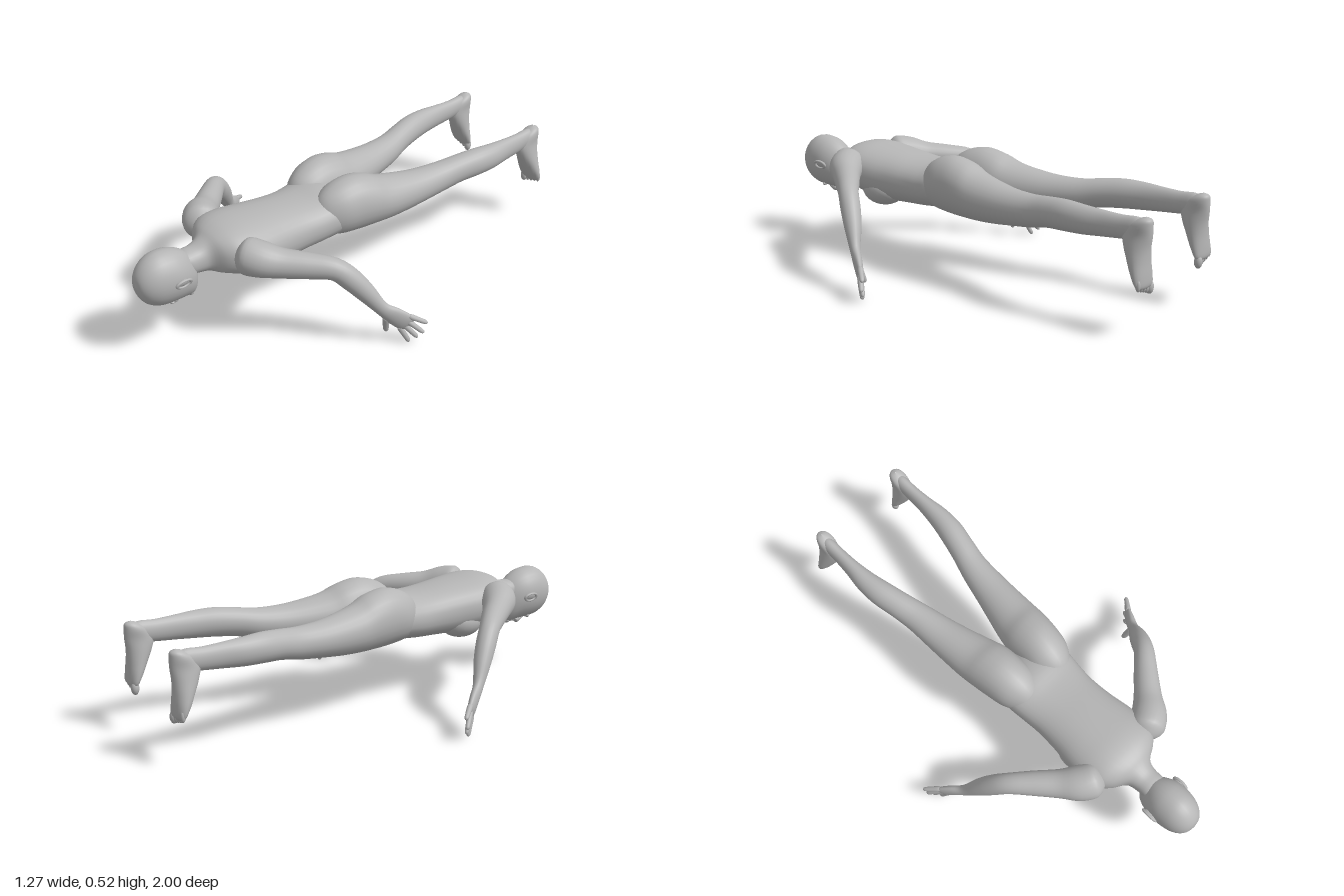
import * as THREE from 'three';

const skin = new THREE.MeshStandardMaterial({ color: 0xb6b6b6 });
skin.name = 'plain grey';

// Smooth skin through elliptical sections [cx, cy, cz, ru, rv].
// ref is the direction of rv; dir fixes the section normal, else it follows the path.
function loft(name, sections, { ref = [0, 1, 0], dir = null, power = 1, seg = 24, steps = 4 } = {}) {
  const spline = pts => new THREE.CatmullRomCurve3(pts, false, 'catmullrom', 0.5);
  const path = spline(sections.map(s => new THREE.Vector3(s[0], s[1], s[2])));
  const radii = spline(sections.map(s => new THREE.Vector3(s[3], s[4], 0)));
  const rows = (sections.length - 1) * steps;
  const pos = [], index = [];
  const round = v => Math.sign(v) * Math.abs(v) ** power;
  for (let i = 0; i <= rows; i++) {
    const c = path.getPoint(i / rows), r = radii.getPoint(i / rows);
    const d = dir ? new THREE.Vector3(...dir) : path.getTangent(i / rows);
    const v = new THREE.Vector3(...ref);
    v.addScaledVector(d, -v.dot(d)).normalize();
    const u = d.clone().cross(v);
    for (let j = 0; j < seg; j++) {
      const a = (j / seg) * Math.PI * 2;
      const p = c.clone()
        .addScaledVector(u, Math.max(r.x, 0.0005) * round(Math.cos(a)))
        .addScaledVector(v, Math.max(r.y, 0.0005) * round(Math.sin(a)));
      pos.push(p.x, p.y, p.z);
      if (i < rows) {
        const k = i * seg, n = (j + 1) % seg;
        index.push(k + j, k + seg + j, k + n, k + n, k + seg + j, k + seg + n);
      }
    }
  }
  const g = new THREE.BufferGeometry();
  g.setAttribute('position', new THREE.Float32BufferAttribute(pos, 3));
  g.setIndex(index);
  g.computeVertexNormals();
  const mesh = new THREE.Mesh(g, skin);
  mesh.name = name;
  return mesh;
}

function blob(name, [x, y, z], [rx, ry, rz]) {
  const mesh = new THREE.Mesh(new THREE.SphereGeometry(1, 20, 14), skin);
  mesh.name = name;
  mesh.position.set(x, y, z);
  mesh.scale.set(rx, ry, rz);
  return mesh;
}

// Section along z given by [z, low y, high y, half width, centre x]
const alongZ = rows => rows.map(([z, y0, y1, w, x = 0]) => [x, (y0 + y1) / 2, z, w, (y1 - y0) / 2]);

export function createModel() {
  const body = new THREE.Group();
  body.name = 'proneFigure';
  const back = [0, 0, -1];

  // Neck and trunk, from inside the skull to the crotch
  body.add(loft('torso', alongZ([
    [0.82, 0.36, 0.42, 0.03], [0.78, 0.335, 0.435, 0.053], [0.73, 0.325, 0.438, 0.056],
    [0.69, 0.318, 0.455, 0.07], [0.655, 0.308, 0.478, 0.125], [0.61, 0.295, 0.493, 0.165],
    [0.55, 0.278, 0.497, 0.178], [0.47, 0.262, 0.49, 0.175], [0.38, 0.258, 0.48, 0.163],
    [0.28, 0.262, 0.468, 0.158], [0.2, 0.267, 0.465, 0.164], [0.12, 0.275, 0.472, 0.172],
    [0.05, 0.278, 0.455, 0.17], [-0.01, 0.277, 0.42, 0.12], [-0.05, 0.285, 0.38, 0.06],
    [-0.07, 0.33, 0.335, 0.001],
  ]), { dir: back, power: 0.88, seg: 32 }));

  // Head, crown to chin
  body.add(loft('head', alongZ([
    [1.0, 0.364, 0.366, 0.001], [0.993, 0.325, 0.407, 0.034], [0.972, 0.288, 0.442, 0.06],
    [0.94, 0.263, 0.468, 0.078], [0.9, 0.25, 0.481, 0.087], [0.85, 0.246, 0.477, 0.089],
    [0.81, 0.244, 0.463, 0.081], [0.775, 0.238, 0.44, 0.066], [0.752, 0.244, 0.415, 0.05],
    [0.738, 0.27, 0.39, 0.028], [0.734, 0.32, 0.34, 0.001],
  ]), { dir: back, seg: 28 }));

  // Face
  body.add(loft('nose', [
    [0, 0.252, 0.885, 0.002, 0.002], [0, 0.246, 0.865, 0.009, 0.01], [0, 0.236, 0.838, 0.013, 0.014],
    [0, 0.238, 0.825, 0.015, 0.012], [0, 0.245, 0.815, 0.002, 0.002],
  ], { dir: back, seg: 12 }));
  body.add(blob('upperLip', [0, 0.244, 0.8], [0.024, 0.008, 0.006]));
  body.add(blob('lowerLip', [0, 0.243, 0.79], [0.02, 0.008, 0.006]));
  body.add(blob('chin', [0, 0.247, 0.766], [0.028, 0.017, 0.017]));

  for (const s of [1, -1]) {
    const side = s > 0 ? 'left' : 'right';
    const mirror = rows => rows.map(([x, ...rest]) => [s * x, ...rest]);

    body.add(blob(side + 'Eye', [s * 0.032, 0.257, 0.868], [0.017, 0.008, 0.009]));

    // Ear: bowl with a rim
    const ear = new THREE.Group();
    ear.name = side + 'Ear';
    const rim = new THREE.Mesh(new THREE.TorusGeometry(0.024, 0.006, 8, 20), skin);
    rim.name = 'earRim';
    rim.scale.set(0.75, 1.3, 1);
    ear.add(rim, blob('earBowl', [0, 0, -0.006], [0.018, 0.03, 0.008]));
    ear.position.set(s * 0.092, 0.362, 0.84);
    ear.rotation.set(Math.PI / 2, s * 1.25, 0, 'XYZ');
    body.add(ear);

    // Chest
    body.add(blob(side + 'Chest', [s * 0.082, 0.315, 0.445], [0.085, 0.073, 0.105]));

    // Leg with buttock, thigh, calf and ankle
    body.add(loft(side + 'Leg', mirror(alongZ([
      [0.2, 0.375, 0.38, 0.001, 0.09], [0.165, 0.31, 0.465, 0.055, 0.09], [0.1, 0.288, 0.51, 0.092, 0.095],
      [0.02, 0.28, 0.527, 0.102, 0.102], [-0.06, 0.278, 0.512, 0.106, 0.108], [-0.13, 0.28, 0.482, 0.101, 0.118],
      [-0.22, 0.287, 0.463, 0.089, 0.132], [-0.32, 0.3, 0.45, 0.076, 0.147], [-0.43, 0.316, 0.449, 0.064, 0.163],
      [-0.52, 0.337, 0.46, 0.058, 0.184], [-0.61, 0.346, 0.469, 0.055, 0.204], [-0.7, 0.352, 0.467, 0.046, 0.215],
      [-0.79, 0.36, 0.462, 0.034, 0.215], [-0.87, 0.367, 0.459, 0.029, 0.214], [-0.94, 0.375, 0.462, 0.028, 0.214],
      [-0.975, 0.4, 0.44, 0.015, 0.214],
    ])), { dir: back }));

    // Foot, ball to heel, sole facing back
    body.add(loft(side + 'Foot', mirror([
      [0.222, 0.195, -0.977, 0.03, 0.006], [0.222, 0.212, -0.976, 0.053, 0.02], [0.222, 0.25, -0.965, 0.057, 0.032],
      [0.22, 0.3, -0.951, 0.051, 0.043], [0.217, 0.35, -0.94, 0.043, 0.054], [0.215, 0.395, -0.938, 0.036, 0.061],
      [0.214, 0.435, -0.952, 0.035, 0.047], [0.214, 0.458, -0.968, 0.025, 0.027], [0.214, 0.469, -0.972, 0.001, 0.001],
    ]), { dir: [0, 1, 0], ref: [0, 0, 1] }));
    for (let k = 0; k < 5; k++) {
      const r = k ? 0.011 - k * 0.0004 : 0.016;
      const y = 0.196 + k * 0.006;
      body.add(blob(side + 'Toe', [s * (0.185 + k * 0.0195 + (k ? 0.004 : 0)), y, -0.979], [r, k ? 0.024 : 0.028, r * 1.05]));
    }

    // Arm from shoulder to knuckles, flattening into the palm
    const spread = [s * 0.4, 0.85, -0.43];
    body.add(loft(side + 'Arm', mirror([
      [0.11, 0.42, 0.615, 0.001, 0.001], [0.145, 0.415, 0.595, 0.066, 0.07], [0.2, 0.41, 0.56, 0.074, 0.073],
      [0.26, 0.395, 0.5, 0.059, 0.061], [0.33, 0.387, 0.425, 0.051, 0.054], [0.4, 0.375, 0.352, 0.043, 0.046],
      [0.44, 0.325, 0.302, 0.042, 0.046], [0.475, 0.262, 0.257, 0.036, 0.04], [0.515, 0.185, 0.208, 0.022, 0.03],
      [0.545, 0.143, 0.165, 0.019, 0.04], [0.573, 0.108, 0.127, 0.014, 0.041], [0.584, 0.094, 0.113, 0.002, 0.025],
    ]), { ref: spread }));

    // Fingers, index to little, then the thumb
    const finger = (name, a, b, r) => body.add(loft(name, mirror([0, 0.05, 0.5, 0.9, 1].map((t, i) => [
      ...a.map((v, n) => v + (b[n] - v) * t), ...Array(2).fill(r * [0.3, 1, 0.95, 0.75, 0.05][i]),
    ])), { ref: spread, seg: 10, steps: 3 }));
    const tips = [[0.58, 0.006, 0.11], [0.602, 0.028, 0.085], [0.624, 0.058, 0.072], [0.63, 0.105, 0.06]];
    tips.forEach((tip, k) => {
      const o = (k - 1.5) * 0.021;
      finger(side + 'Finger', [0.568 + o * 0.4, 0.112 + o * 0.85, 0.132 - o * 0.43], tip, 0.0115);
    });
    finger(side + 'Thumb', [0.525, 0.135, 0.19], [0.502, 0.045, 0.168], 0.014);
  }
  return body;
}
